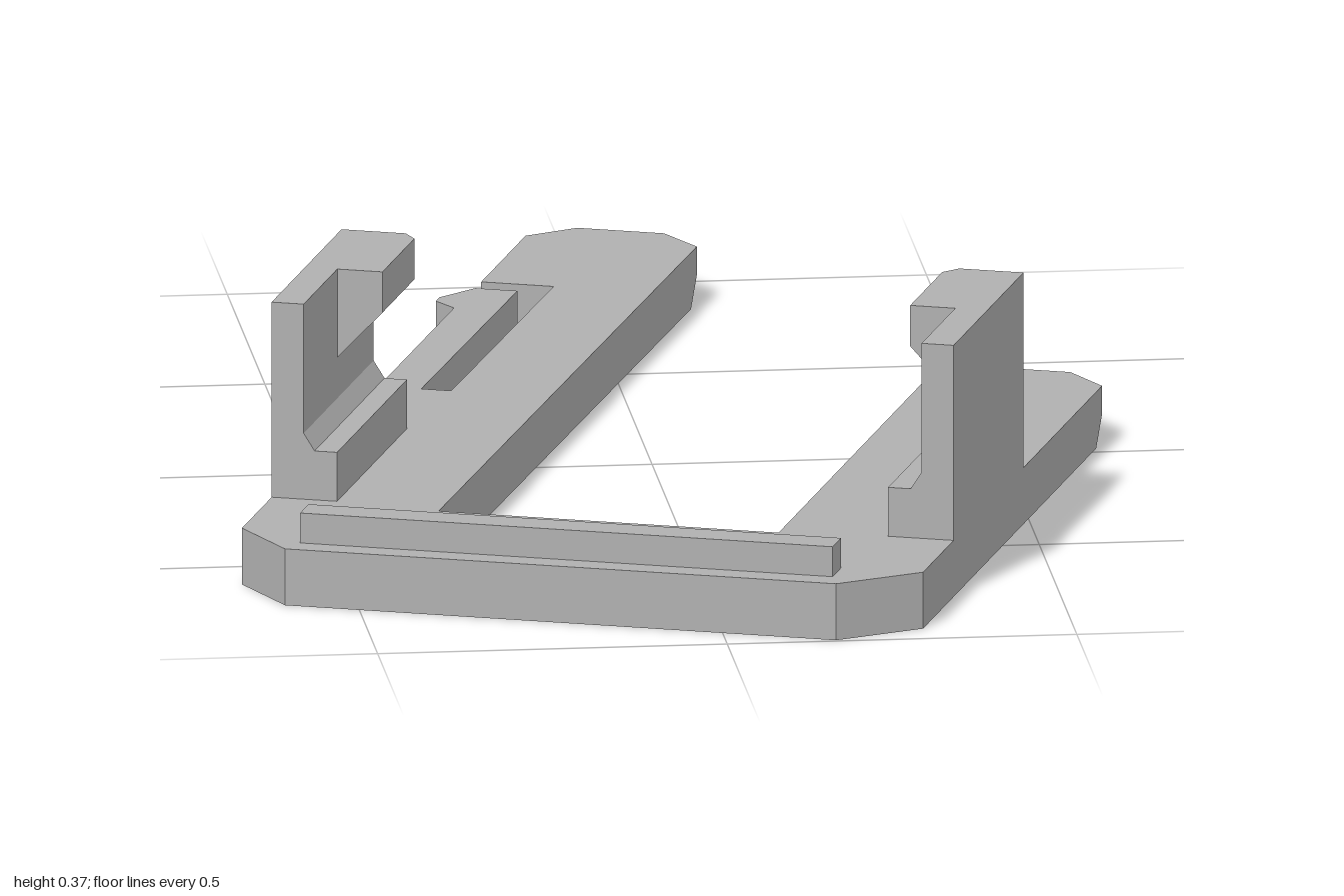
import * as THREE from 'three';

const T = 0.083; // plate thickness

const shapeOf = (pts) => new THREE.Shape(pts.map(([a, b]) => new THREE.Vector2(a, b)));
const extrude = (pts, depth, steps = 1) =>
  new THREE.ExtrudeGeometry(shapeOf(pts), { depth, steps, bevelEnabled: false });

// Move every vertex by a rule, then refresh the flat normals
function reshape(geo, rule) {
  const p = geo.attributes.position;
  const v = new THREE.Vector3();
  for (let i = 0; i < p.count; i++) {
    rule(v.fromBufferAttribute(p, i));
    p.setXYZ(i, v.x, v.y, v.z);
  }
  geo.computeVertexNormals();
  return geo;
}

export function createModel() {
  const group = new THREE.Group();
  group.name = 'clipBracket';
  const grey = new THREE.MeshStandardMaterial({ color: 0xb0b0b0 });
  grey.name = 'grey plastic';
  const body = new THREE.Group();
  body.name = 'body';
  body.rotation.y = -THREE.MathUtils.degToRad(20);
  group.add(body);
  const add = (name, geo, parent = body) => {
    const mesh = new THREE.Mesh(geo, grey);
    mesh.name = name;
    parent.add(mesh);
    return mesh;
  };

  // U-shaped plate with a slotted spring finger in the long arm
  const outline = [
    [-0.407, -0.785], [-0.32, -0.882], [0.487, -0.882], [0.592, -0.79],
    [0.592, 0.272], [0.53, 0.335], [0.41, 0.335], [0.34, 0.272],
    [0.34, -0.627], [-0.161, -0.627],
    [-0.152, 0.882], [-0.215, 0.942], [-0.342, 0.942], [-0.403, 0.882],
    [-0.403, 0.619], [-0.297, 0.619], [-0.3, 0.024], [-0.344, 0.024],
    [-0.341, 0.583], [-0.403, 0.583], [-0.44, 0.522], [-0.44, 0.5], [-0.406, 0.47],
  ];
  outline[9][0] = -0.158;
  const plate = extrude(outline, T, 2);
  // Chamfer the underside of both arm tips
  reshape(plate, (v) => {
    if (v.z > 0.001) return;
    const longArm = v.x < 0;
    const tip = longArm ? 0.942 : 0.335;
    const mid = longArm ? -0.278 : 0.47;
    if (Math.abs(v.y - tip) < 0.01) {
      v.y -= 0.045;
      v.x += (mid - v.x) * 0.2;
    } else if (Math.abs(v.y - tip + 0.062) < 0.01) {
      v.y -= 0.035;
    }
  });
  plate.rotateX(-Math.PI / 2);
  add('basePlate', plate);

  // Raised rib along the front crossbar
  const rib = new THREE.BoxGeometry(0.78, 0.044, 0.05);
  rib.translate(0.083, T + 0.022, 0.82);
  add('frontRib', rib);

  // Mirrored retaining walls, each with a foot ledge and an overhanging hook
  const wallProfile = [
    [0, T], [0.096, T], [0.096, 0.155], [0.063, 0.155],
    [0.047, 0.18], [0.047, 0.37], [0, 0.37],
  ];
  const hookProfile = [[0.047, 0.24], [0.113, 0.31], [0.113, 0.37], [0.047, 0.37]];
  for (const [side, edge, s] of [['right', -0.407, 1], ['left', 0.592, -1]]) {
    const clip = new THREE.Group();
    clip.name = side + 'Clip';
    clip.position.set(edge, 0, 0.194);
    body.add(clip);
    const mirror = (pts) => pts.map(([w, y]) => [s * w, y]);
    add(side + 'Wall', extrude(mirror(wallProfile), 0.415), clip);
    const hook = reshape(extrude(mirror(hookProfile), 0.215, 2), (v) => {
      if (v.z < 0.01) {
        // cut the rear inner corner
        if (Math.abs(v.x) > 0.1) {
          v.x = s * 0.094;
          if (v.y < 0.35) v.y = 0.29;
        }
      } else if (v.z < 0.2) {
        v.z = 0.025;
      }
    });
    add(side + 'Hook', hook, clip);
  }
  return group;
}
